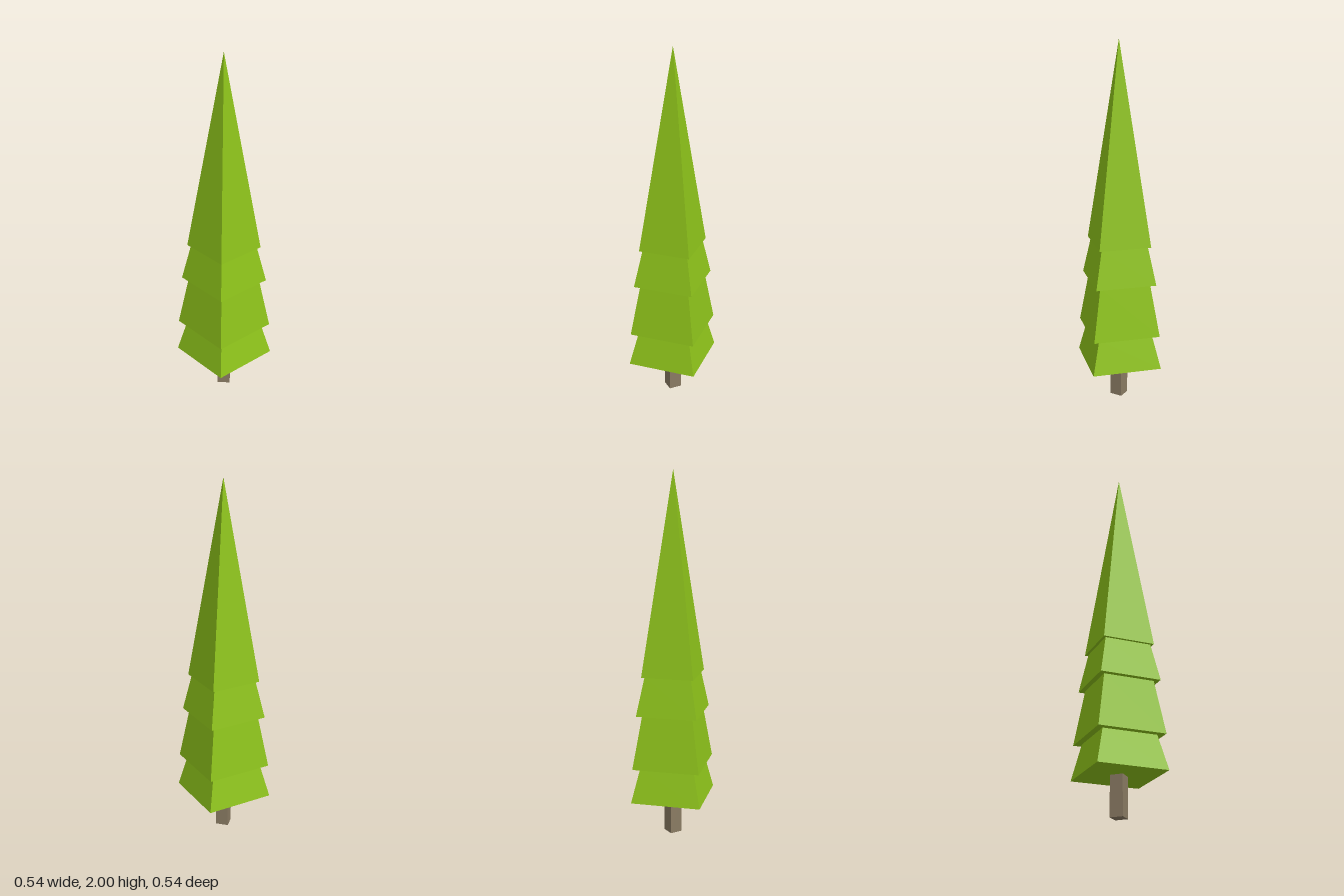
import * as THREE from 'three';

export function createModel() {
  const tree = new THREE.Group();
  tree.name = 'tree';
  const leaves = new THREE.MeshStandardMaterial({ color: 0x8dc21a, flatShading: true });
  const bark = new THREE.MeshStandardMaterial({ color: 0x8a7b63, flatShading: true });

  // Square trunk
  const trunk = new THREE.Mesh(new THREE.BoxGeometry(0.07, 0.215, 0.07), bark);
  trunk.name = 'trunk';
  trunk.position.y = 0.1075;
  tree.add(trunk);

  // Four-sided foliage tiers, corners on the axes: [bottom y, bottom radius, top y, top radius]
  const tiers = [
    [0.215, 0.27, 0.405, 0.21],
    [0.405, 0.26, 0.7, 0.196],
    [0.7, 0.235, 0.91, 0.18],
    [0.91, 0.201, 2, 0],
  ];
  let inner = 0; // underside starts where the tier below ends
  tiers.forEach(([y0, r0, y1, r1], i) => {
    const profile = [[inner, y0], [r0, y0], [r1, y1]].map(([x, y]) => new THREE.Vector2(x, y));
    const tier = new THREE.Mesh(new THREE.LatheGeometry(profile, 4), leaves);
    tier.name = `foliageTier${i + 1}`;
    tree.add(tier);
    inner = r1;
  });

  return tree;
}
